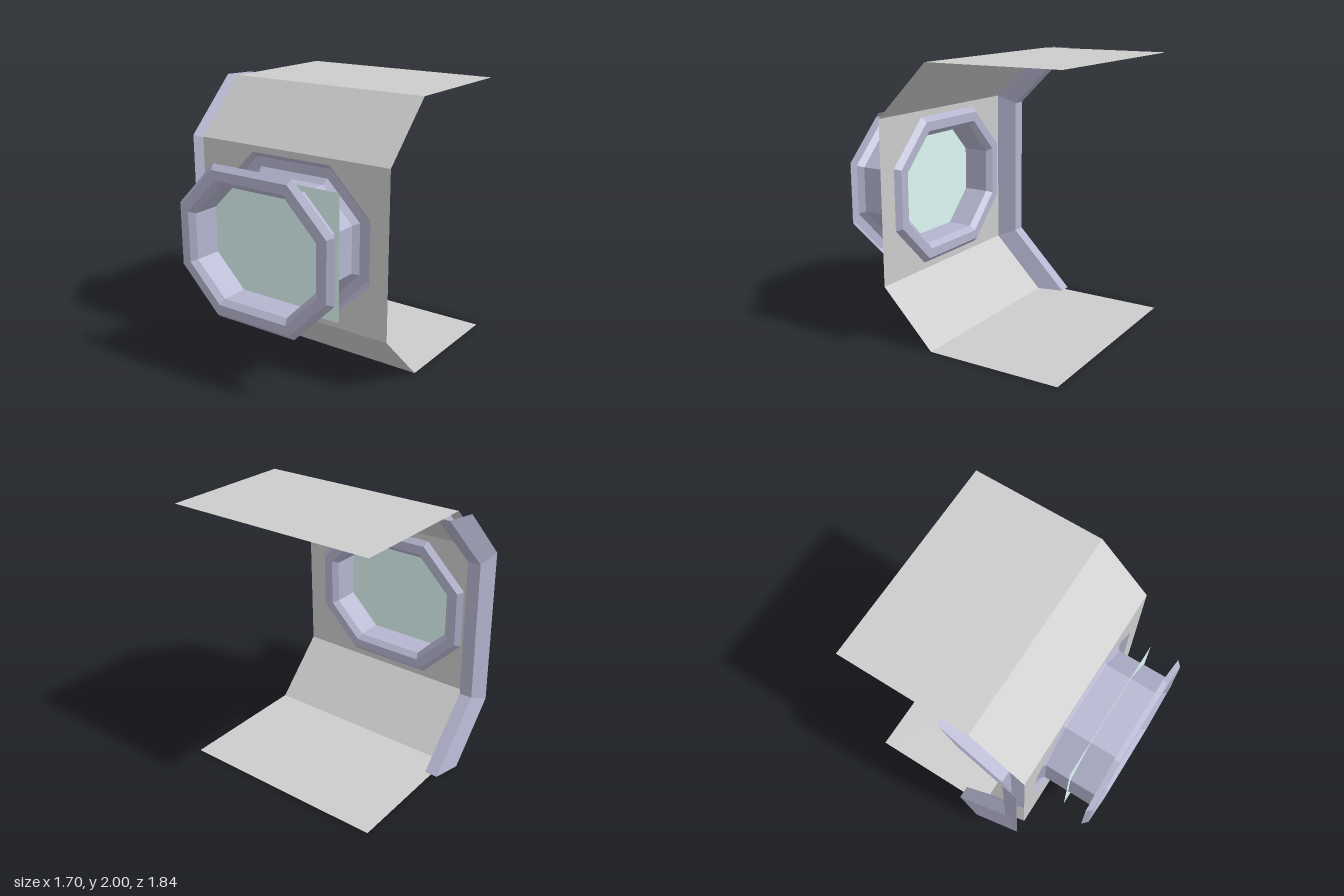
import * as THREE from 'three';

const material = (color) => new THREE.MeshStandardMaterial({ color, flatShading: true, side: THREE.DoubleSide });
const panelMat = material(0xcccccc);
const trimMat = material(0xb4b4cf);
const glassMat = material(0xdcf7f4);

// Flat-shaded skin between successive rows of [x, y, z] points.
function skin(name, rows, mat, closed = false) {
  const pos = [];
  for (let r = 0; r < rows.length - 1; r++) {
    const a = rows[r], b = rows[r + 1], n = a.length;
    for (let i = 0; i < (closed ? n : n - 1); i++) {
      const j = (i + 1) % n;
      pos.push(...a[i], ...a[j], ...b[j], ...a[i], ...b[j], ...b[i]);
    }
  }
  const geo = new THREE.BufferGeometry();
  geo.setAttribute('position', new THREE.Float32BufferAttribute(pos, 3));
  geo.computeVertexNormals();
  const mesh = new THREE.Mesh(geo, mat);
  mesh.name = name;
  return mesh;
}

// Window outline: a chamfered rectangle grown outward by d, at depth z.
const CX = 0.05, CY = 1;
function octagon(d, z) {
  const hx = 0.513 + d, hy = 0.409 + d, cut = 0.24 + 0.586 * d;
  const corners = [[hx, hy - cut], [hx - cut, hy], [cut - hx, hy], [-hx, hy - cut],
    [-hx, cut - hy], [cut - hx, -hy], [hx - cut, -hy], [hx, cut - hy]];
  return corners.map(([x, y]) => [CX + x, CY + y, z]);
}

// Bevelled frame: base at depth z, raised face at z + height.
function windowFrame(name, z, height) {
  const profile = [[0.143, 0], [0.107, height], [0.038, height], [0, 0]];
  return skin(name, profile.map(([d, h]) => octagon(d, z + h)), trimMat, true);
}

export function createModel() {
  const model = new THREE.Group();
  const X0 = -0.75, X1 = 0.85, Z = 0.48;

  // Ceiling and floor, each with its sloped panel
  const panels = new THREE.Group();
  panels.name = 'wallPanels';
  const bend = [[2, -0.92], [2, 0.08], [1.6, Z]];
  for (const [name, s] of [['ceilingPanels', 1], ['floorPanels', -1]]) {
    const rows = bend.map(([y, z]) => [X0, X1].map((x) => [x, 1 + s * (y - 1), z]));
    panels.add(skin(name, rows, panelMat));
  }

  // Upright wall with the window opening
  const wall = new THREE.Shape([[X0, 0.4], [X1, 0.4], [X1, 1.6], [X0, 1.6]].map((p) => new THREE.Vector2(...p)));
  wall.holes.push(new THREE.Path(octagon(0.143, 0).map(([x, y]) => new THREE.Vector2(x, y))));
  const wallMesh = new THREE.Mesh(new THREE.ShapeGeometry(wall), panelMat);
  wallMesh.position.z = Z;
  wallMesh.name = 'windowWall';
  panels.add(wallMesh);
  model.add(panels);

  // Seam rib: open trapezoid section swept down the sloped and upright walls
  const outer = [[2, 0.08], [1.6, Z], [0.4, Z], [0, 0.08]];
  const inner = [[2, -0.118], [1.542, 0.34], [0.458, 0.34], [0, -0.118]];
  const column = (x, path) => path.map(([y, z]) => [x, y, z]);
  model.add(skin('seamRib', [column(-0.85, outer), column(-0.8, inner),
    column(-0.7, inner), column(-0.65, outer)], trimMat));

  // Window: frames on both ends of an eight-sided tunnel
  const win = new THREE.Group();
  win.name = 'window';
  win.add(windowFrame('innerFrame', Z, -0.038));
  win.add(windowFrame('outerFrame', 0.882, 0.038));
  win.add(skin('windowTunnel', [octagon(0, Z), octagon(0, 0.882)], trimMat, true));

  // Rectangular pane halfway along the tunnel
  const pane = new THREE.Mesh(new THREE.PlaneGeometry(1.1, 0.894), glassMat);
  pane.position.set(CX, CY, 0.68);
  pane.name = 'windowPane';
  win.add(pane);
  model.add(win);

  return model;
}
